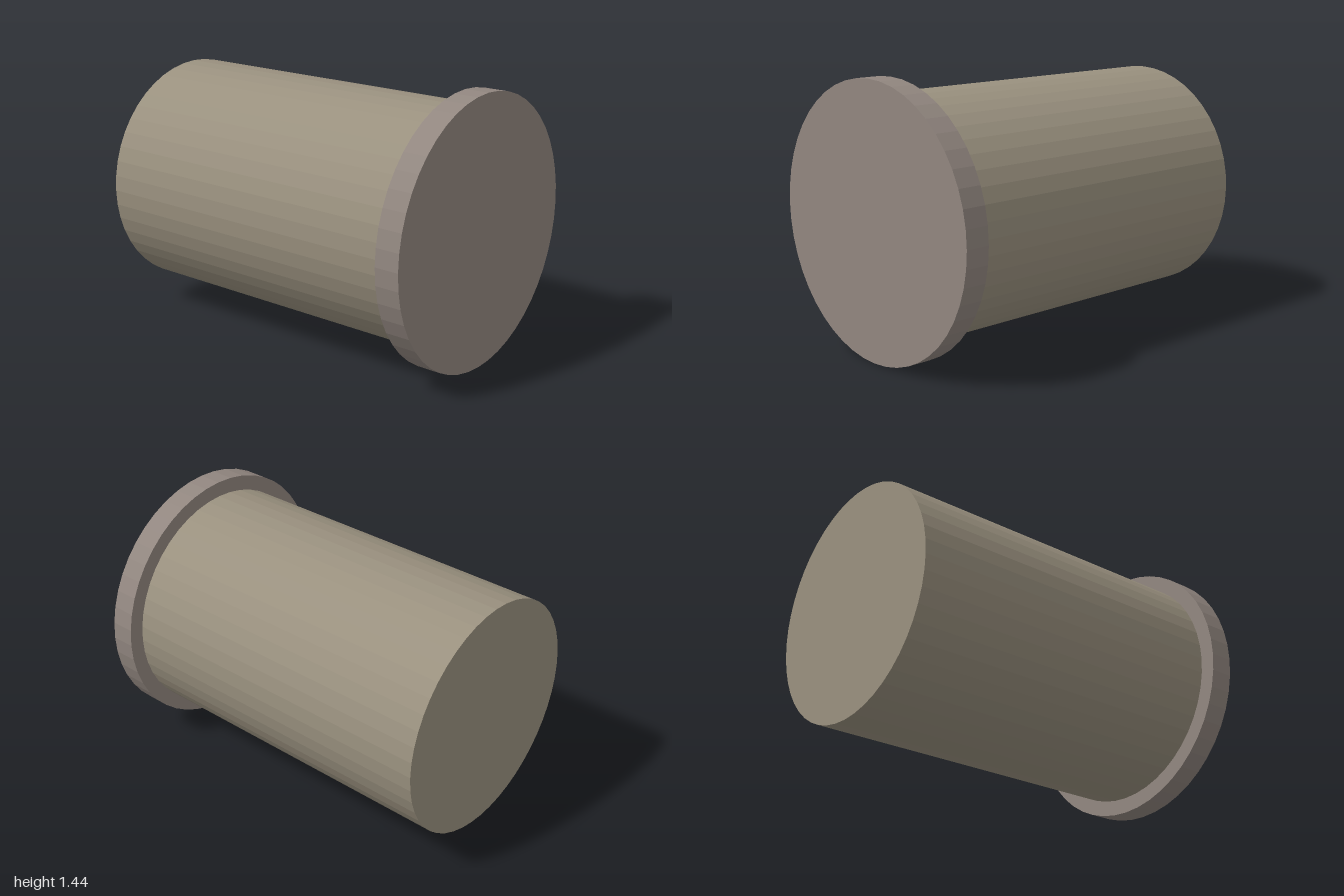
import * as THREE from 'three';

const SIDES = 48;
const CENTER_Y = 0.722;

// Faceted solid disc or cylinder lying along z between two depths
function cylinderAlongZ(name, radius, zBack, zFront, color) {
  const geometry = new THREE.CylinderGeometry(radius, radius, zFront - zBack, SIDES);
  geometry.rotateX(Math.PI / 2);
  const material = new THREE.MeshStandardMaterial({ color, flatShading: true });
  const mesh = new THREE.Mesh(geometry, material);
  mesh.name = name;
  mesh.position.set(0, CENTER_Y, (zBack + zFront) / 2);
  return mesh;
}

export function createModel() {
  const group = new THREE.Group();
  group.name = 'flangedCylinder';
  // Long shaft behind the wider front flange
  group.add(cylinderAlongZ('shaft', 0.638, -1, 0.866, 0x9a917f));
  group.add(cylinderAlongZ('flange', 0.722, 0.866, 1, 0x928780));
  return group;
}
